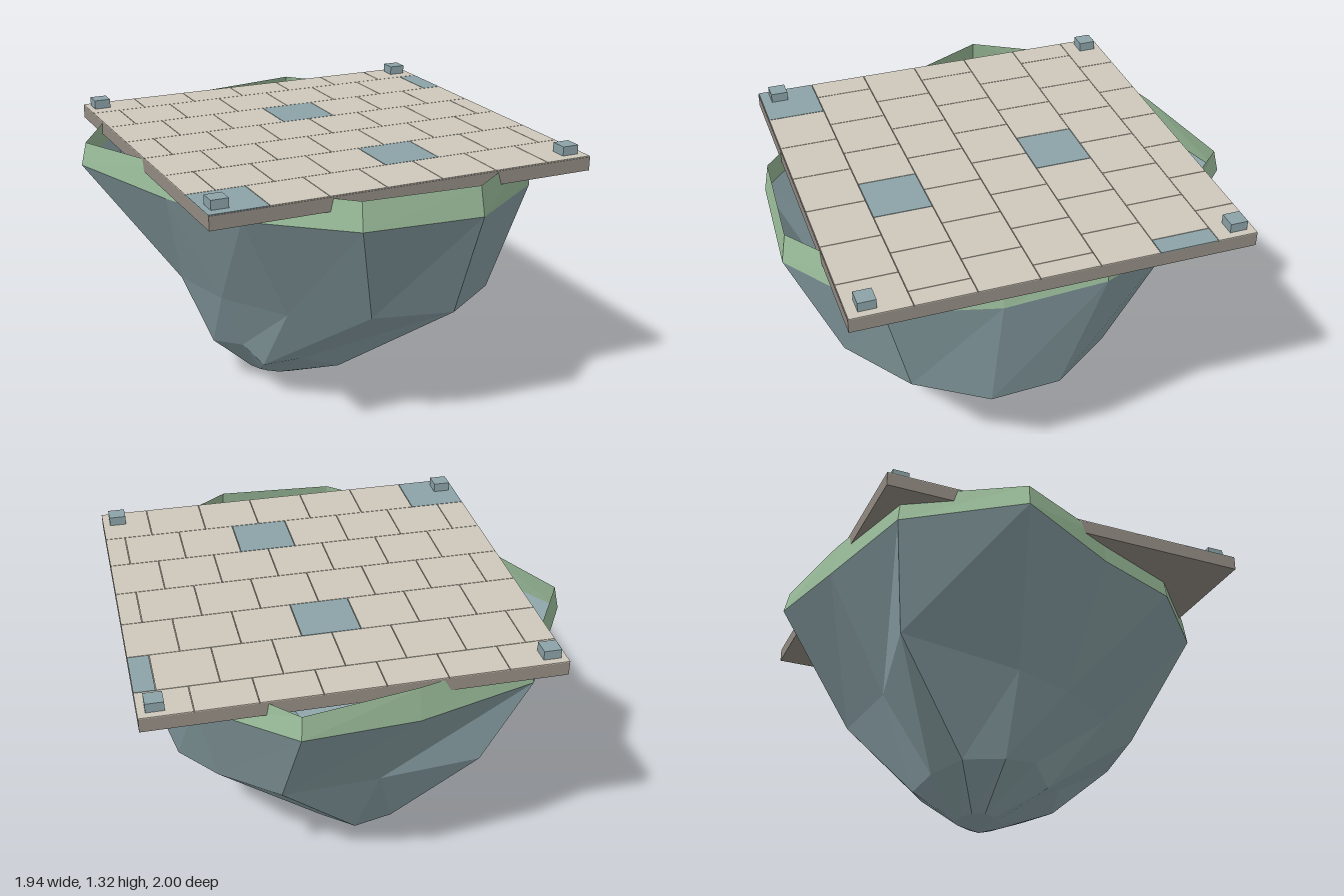
import * as THREE from 'three';

const material = (name, color, side = THREE.FrontSide) =>
  new THREE.MeshStandardMaterial({ name, color, side, flatShading: true });

// Cross-sections of the crag, twelve points each, running from +x towards +z
const turf = [
  [0.92, 1.125, 0.22], [0.79, 1.12, 0.68], [0.36, 1.14, 0.995], [-0.18, 1.145, 0.96],
  [-0.56, 1.135, 0.62], [-0.74, 1.125, 0.2], [-0.97, 1.165, -0.28], [-0.68, 1.13, -0.77],
  [-0.15, 1.12, -0.91], [0.36, 1.17, -1.0], [0.73, 1.11, -0.6], [0.94, 1.165, -0.22],
];
const waist = [
  [0.78, 0.5, 0.22], [0.68, 0.6, 0.55], [0.375, 0.615, 0.77], [0, 0.63, 0.71],
  [-0.27, 0.575, 0.42], [-0.47, 0.58, 0.13], [-0.56, 0.59, -0.15], [-0.5, 0.69, -0.68],
  [-0.07, 0.6, -0.61], [0.38, 0.61, -0.64], [0.62, 0.55, -0.36], [0.77, 0.505, -0.1],
];
const foot = [
  [0.29, 0.18, 0.05], [0.2, 0.19, 0.2], [0.05, 0.2, 0.29], [-0.12, 0.25, 0.24],
  [-0.26, 0.19, 0.12], [-0.33, 0.27, 0.03], [-0.41, 0.23, -0.15], [-0.35, 0.22, -0.33],
  [-0.18, 0.2, -0.41], [0, 0.18, -0.43], [0.15, 0.2, -0.33], [0.27, 0.19, -0.1],
];

// Faceted skin between rings listed from bottom to top
function skin(rings) {
  const pos = [];
  for (let r = 0; r < rings.length - 1; r++) {
    const a = rings[r], b = rings[r + 1], n = a.length;
    for (let i = 0; i < n; i++) {
      const j = (i + 1) % n;
      pos.push(...a[i], ...b[i], ...a[j], ...a[j], ...b[i], ...b[j]);
    }
  }
  const g = new THREE.BufferGeometry();
  g.setAttribute('position', new THREE.Float32BufferAttribute(pos, 3));
  g.computeVertexNormals();
  return g;
}

export function createModel() {
  const group = new THREE.Group();
  const slate = material('slate', 0x8ca3a8, THREE.DoubleSide);
  const grass = material('grass', 0x9abc9a, THREE.DoubleSide);
  const mortar = material('mortar', 0x958d85);
  const paving = material('paving', 0xcfc9bc);

  const add = (name, geometry, mat, parent = group) => {
    const mesh = new THREE.Mesh(geometry, mat);
    mesh.name = name;
    parent.add(mesh);
    return mesh;
  };
  // Box given by its lower and upper corners
  const box = (name, mat, x0, x1, y0, y1, z0, z1, parent) =>
    add(name, new THREE.BoxGeometry(x1 - x0, y1 - y0, z1 - z0), mat, parent)
      .position.set((x0 + x1) / 2, (y0 + y1) / 2, (z0 + z1) / 2);

  // Open-topped crag narrowing to a blunt tip
  const tip = foot.map(([x, y, z]) => [-0.09 + (x + 0.06) * 0.34, 0.045, -0.14 + (z + 0.08) * 0.31]);
  const apex = foot.map(() => [-0.08, 0, -0.14]);
  add('crag', skin([apex, tip, foot, waist, turf]), slate);

  // Grass band around the top of the crag
  const brim = turf.map(([x, , z]) => [x * 0.977, 1.27, z * 0.977]);
  add('grassBand', skin([turf, brim]), grass);

  // Floor slab
  const X0 = -0.79, X1 = 0.97, Z0 = -0.86, Z1 = 0.86, TOP = 1.28;
  box('slab', mortar, X0, X1, 1.215, TOP - 0.004, Z0, Z1);

  // Staggered paving tiles, a few of them in slate
  const tiles = new THREE.Group();
  tiles.name = 'pavingTiles';
  group.add(tiles);
  const size = 0.257, gap = 0.0015;
  const slateTiles = ['1,7', '2,3', '5,4', '6,0'];
  for (let row = 0; row < 7; row++) {
    const z0 = row === 0 ? Z0 : -0.685 + (row - 1) * size;
    const z1 = Math.min(Z1, -0.685 + row * size);
    const start = X0 - (row % 2) * size / 2;
    for (let col = 0; start + col * size < X1; col++) {
      const x0 = Math.max(X0, start + col * size);
      const x1 = Math.min(X1, start + (col + 1) * size);
      const mat = slateTiles.includes(`${row},${col}`) ? slate : paving;
      box('tile', mat, x0 + (x0 > X0 ? gap : 0), x1 - (x1 < X1 ? gap : 0), TOP - 0.004, TOP,
        z0 + (row > 0 ? gap : 0), z1 - (row < 6 ? gap : 0), tiles);
    }
  }

  // Corner blocks
  for (const x of [-0.725, 0.9])
    for (const z of [-0.79, 0.775])
      box('cornerBlock', slate, x - 0.038, x + 0.038, TOP, TOP + 0.041, z - 0.038, z + 0.038);

  return group;
}
